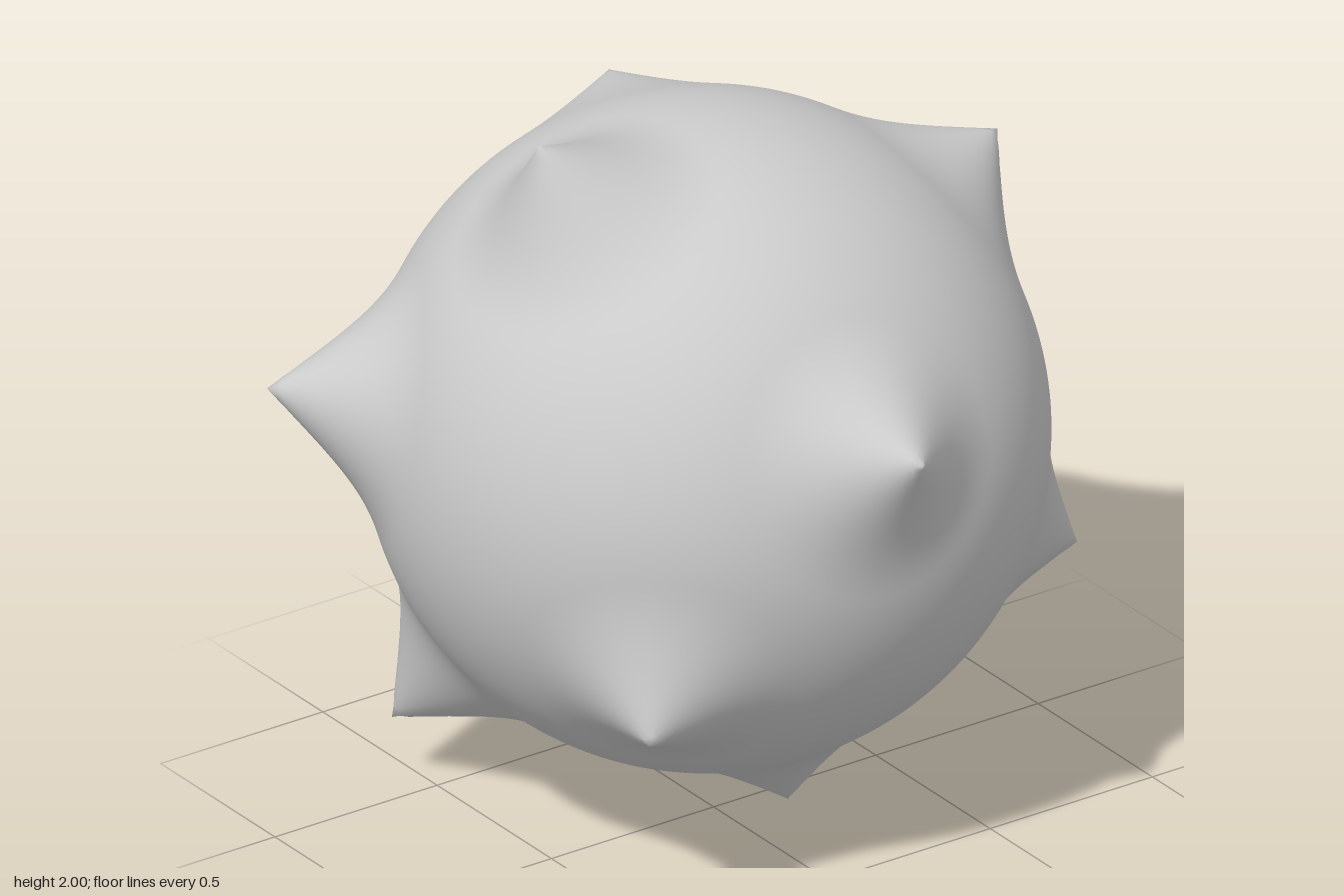
import * as THREE from 'three';
import { mergeVertices } from 'three/addons/utils/BufferGeometryUtils.js';

const RADIUS = 0.87;
const CENTER = new THREE.Vector3(0.03, 1.03, -0.075);
const SPREAD = THREE.MathUtils.degToRad(25); // half angle covered by one spike
const SHARPNESS = 2.2;

// Spike tips in model space
const TIPS = [
  [-0.51, 2.0, -0.04],
  [-0.02, 1.36, 0.945],
  [0.91, 1.63, -0.05],
  [-0.62, 0.6, 0.6],
  [0.93, 0.59, 0.27],
  [0.18, 0.0, 0.07],
  [-0.94, 1.2, -0.62],
  [-0.59, 0.19, -0.57],
  [0.22, 1.7, -0.77],
  [0.74, 1.04, -0.82],
  [0.66, 0.42, -0.76],
];

// Sphere whose surface is drawn out into concave, pointed spikes
function spikedSphere() {
  let geometry = new THREE.IcosahedronGeometry(1, 60);
  geometry.deleteAttribute('normal');
  geometry.deleteAttribute('uv');
  geometry = mergeVertices(geometry, 1e-5);

  const spikes = TIPS.map((tip) => {
    const dir = new THREE.Vector3(...tip).sub(CENTER);
    const height = dir.length() - RADIUS;
    return { dir: dir.normalize(), height };
  });

  const pos = geometry.attributes.position;
  const v = new THREE.Vector3();

  // Move the closest vertex onto each spike axis so every tip is sharp
  for (const { dir } of spikes) {
    let best = 0;
    let bestDot = -1;
    for (let i = 0; i < pos.count; i++) {
      const dot = v.fromBufferAttribute(pos, i).dot(dir);
      if (dot > bestDot) {
        bestDot = dot;
        best = i;
      }
    }
    pos.setXYZ(best, dir.x, dir.y, dir.z);
  }

  // Raise the surface around each axis
  for (let i = 0; i < pos.count; i++) {
    v.fromBufferAttribute(pos, i).normalize();
    let r = RADIUS;
    for (const { dir, height } of spikes) {
      const t = v.angleTo(dir) / SPREAD;
      if (t < 1) r += height * (1 - t) ** SHARPNESS;
    }
    v.multiplyScalar(r);
    pos.setXYZ(i, v.x, v.y, v.z);
  }
  geometry.computeVertexNormals();
  return geometry;
}

export function createModel() {
  const group = new THREE.Group();
  group.name = 'spikedBall';
  const body = new THREE.Mesh(
    spikedSphere(),
    new THREE.MeshStandardMaterial({ color: 0xcccccc })
  );
  body.name = 'spikedSphere';
  body.position.copy(CENTER);
  group.add(body);
  return group;
}
